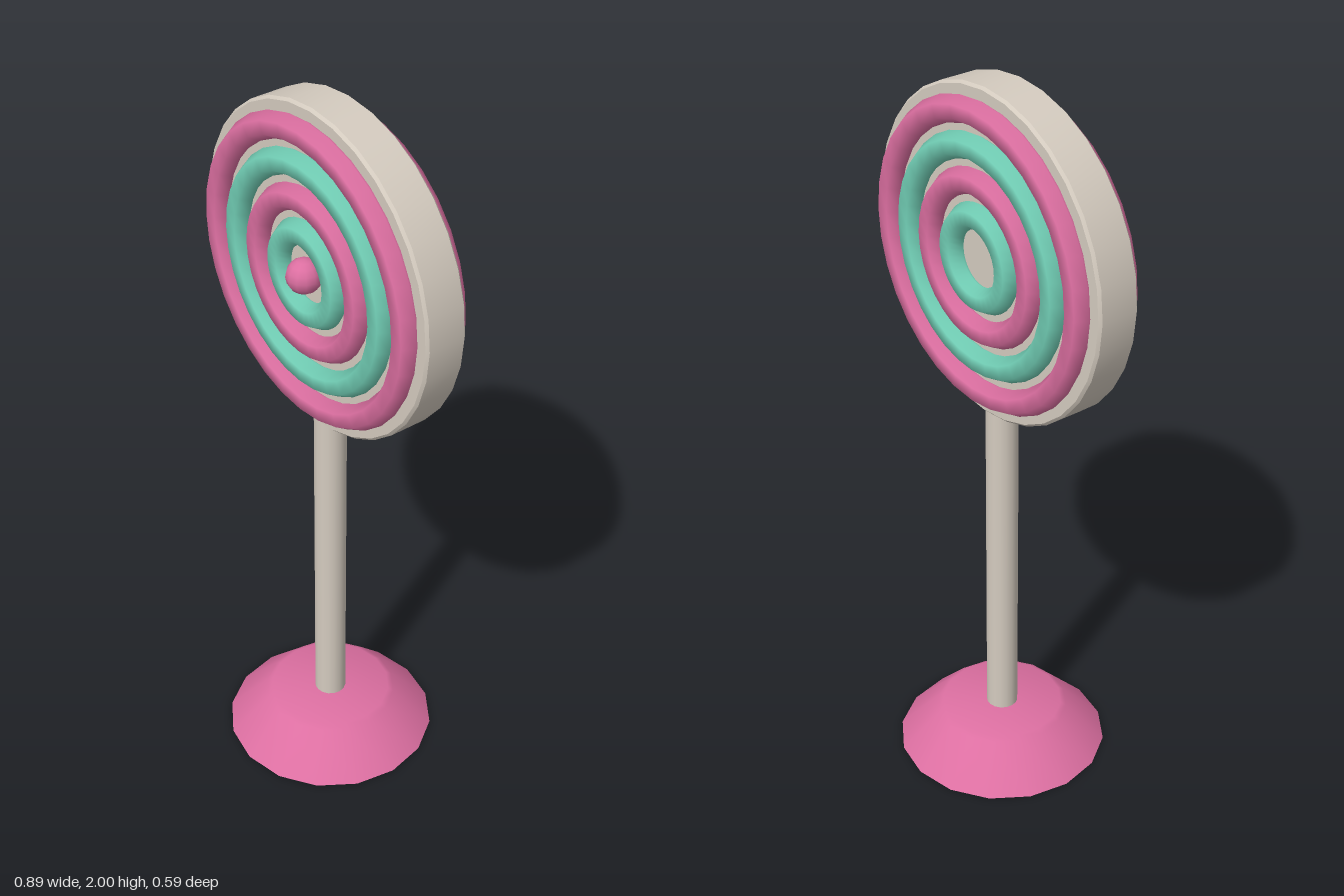
import * as THREE from 'three';
import { toCreasedNormals } from 'three/addons/utils/BufferGeometryUtils.js';

const paint = (name, color) => {
  const m = new THREE.MeshStandardMaterial({ color });
  m.name = name;
  return m;
};

// Turned part from [radius, height] points, with crisp edges
function turned(points, sides) {
  const profile = points.map(([r, y]) => new THREE.Vector2(r, y));
  return toCreasedNormals(new THREE.LatheGeometry(profile, sides), 0.5);
}

export function createModel() {
  const pink = paint('pink', 0xdc6fa1);
  const mint = paint('mint', 0x72cfb6);
  const cream = paint('cream', 0xd4cbbf);
  const model = new THREE.Group();
  model.name = 'lollipopStand';

  const add = (parent, name, geometry, material, x = 0, y = 0, z = 0) => {
    const mesh = new THREE.Mesh(geometry, material);
    mesh.name = name;
    mesh.position.set(x, y, z);
    parent.add(mesh);
    return mesh;
  };

  // Foot and stick
  add(model, 'base', turned([[0, 0], [0.295, 0], [0.185, 0.112], [0.17, 0.12], [0, 0.12]], 16), pink);
  add(model, 'stick', new THREE.CylinderGeometry(0.044, 0.044, 1.199, 16), cream, 0, 0.6005, 0);

  // Round head with a small bevel on both rims
  const head = new THREE.Group();
  head.name = 'head';
  head.position.y = 1.555;
  model.add(head);
  const disc = turned([[0, -0.06], [0.438, -0.06], [0.445, -0.053],
    [0.445, 0.053], [0.438, 0.06], [0, 0.06]], 32);
  add(head, 'disc', disc, cream).rotation.x = Math.PI / 2;

  // Alternating concentric rings, front and back
  [0.378, 0.289, 0.2, 0.111].forEach((radius, i) => {
    const ring = new THREE.TorusGeometry(radius, 0.0356, 6, 32);
    for (const side of [1, -1]) {
      add(head, side > 0 ? 'frontRing' : 'backRing', ring, i % 2 ? mint : pink, 0, 0, side * 0.068);
    }
  });

  // Centre bead on the front only
  add(head, 'centreBead', new THREE.SphereGeometry(0.047, 12, 8), pink, 0, 0, 0.081);
  return model;
}
